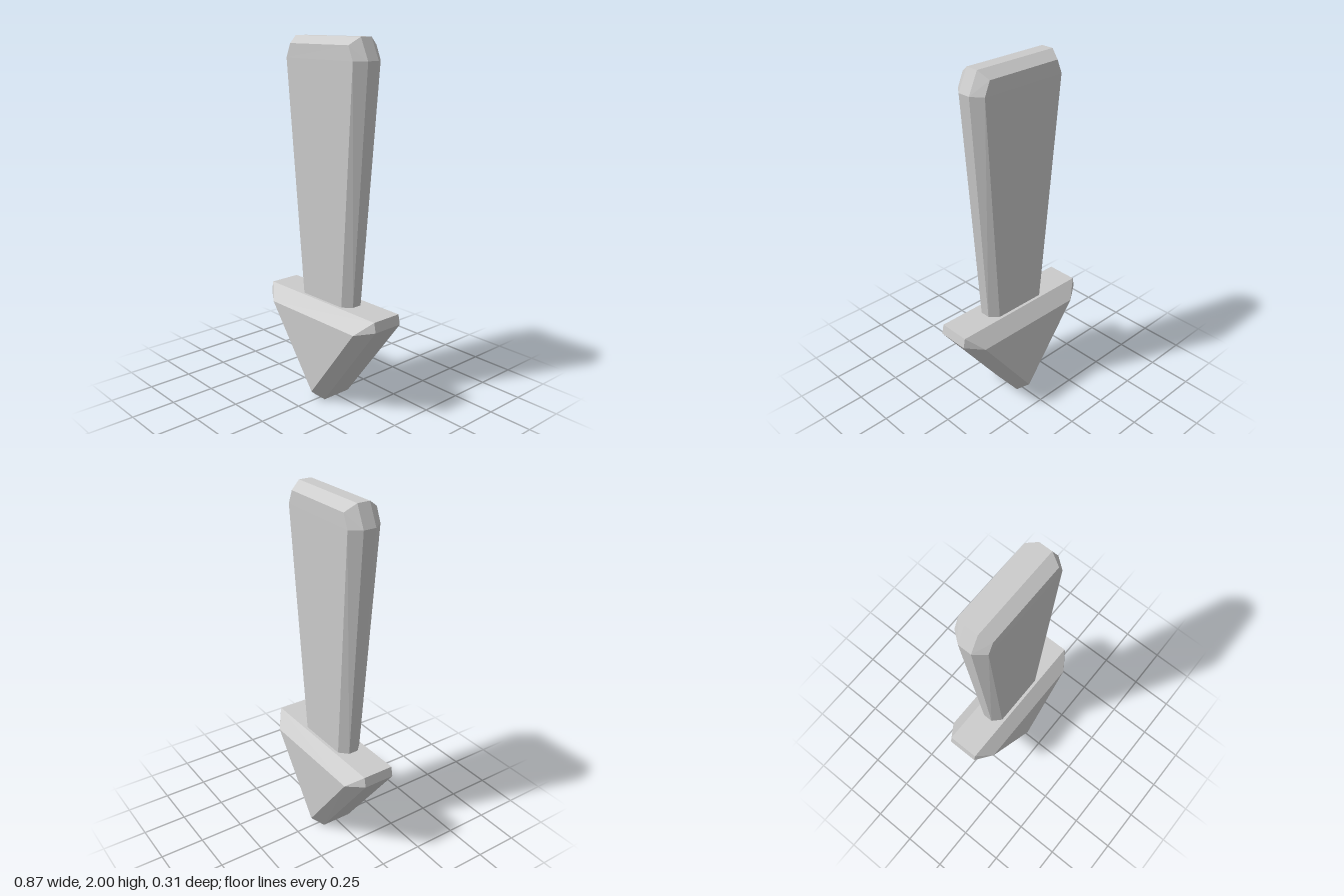
import * as THREE from 'three';
import { ConvexGeometry } from 'three/addons/geometries/ConvexGeometry.js';

// Convex faceted solid from corners [x, y, z], mirrored across x and z
function facetedSolid(name, corners) {
  const points = [];
  for (const [x, y, z] of corners) {
    for (const sx of x === 0 ? [1] : [1, -1]) {
      for (const sz of [1, -1]) points.push(new THREE.Vector3(sx * x, y, sz * z));
    }
  }
  const material = new THREE.MeshStandardMaterial({ color: 0xcccccc, flatShading: true });
  const mesh = new THREE.Mesh(new ConvexGeometry(points), material);
  mesh.name = name;
  return mesh;
}

export function createModel() {
  const group = new THREE.Group();
  group.name = 'downArrow';

  // Tapered, bevelled shaft, wider at the top
  group.add(facetedSolid('shaft', [
    [0.2, 0.58, 0.028], [0.155, 0.58, 0.072],   // foot, resting in the head
    [0.303, 1.885, 0.036], [0.257, 1.885, 0.095], // shoulders
    [0.25, 2, 0.036], [0.225, 1.96, 0.095],     // top
  ]));

  // Triangular, bevelled head pointing down
  group.add(facetedSolid('arrowHead', [
    [0.425, 0.585, 0.089], [0.436, 0.53, 0.089], // blunted side corners
    [0.037, 0, 0.089],                           // blunted tip
    [0.337, 0.503, 0.155], [0, 0.057, 0.155],    // front and back faces
  ]));

  return group;
}
